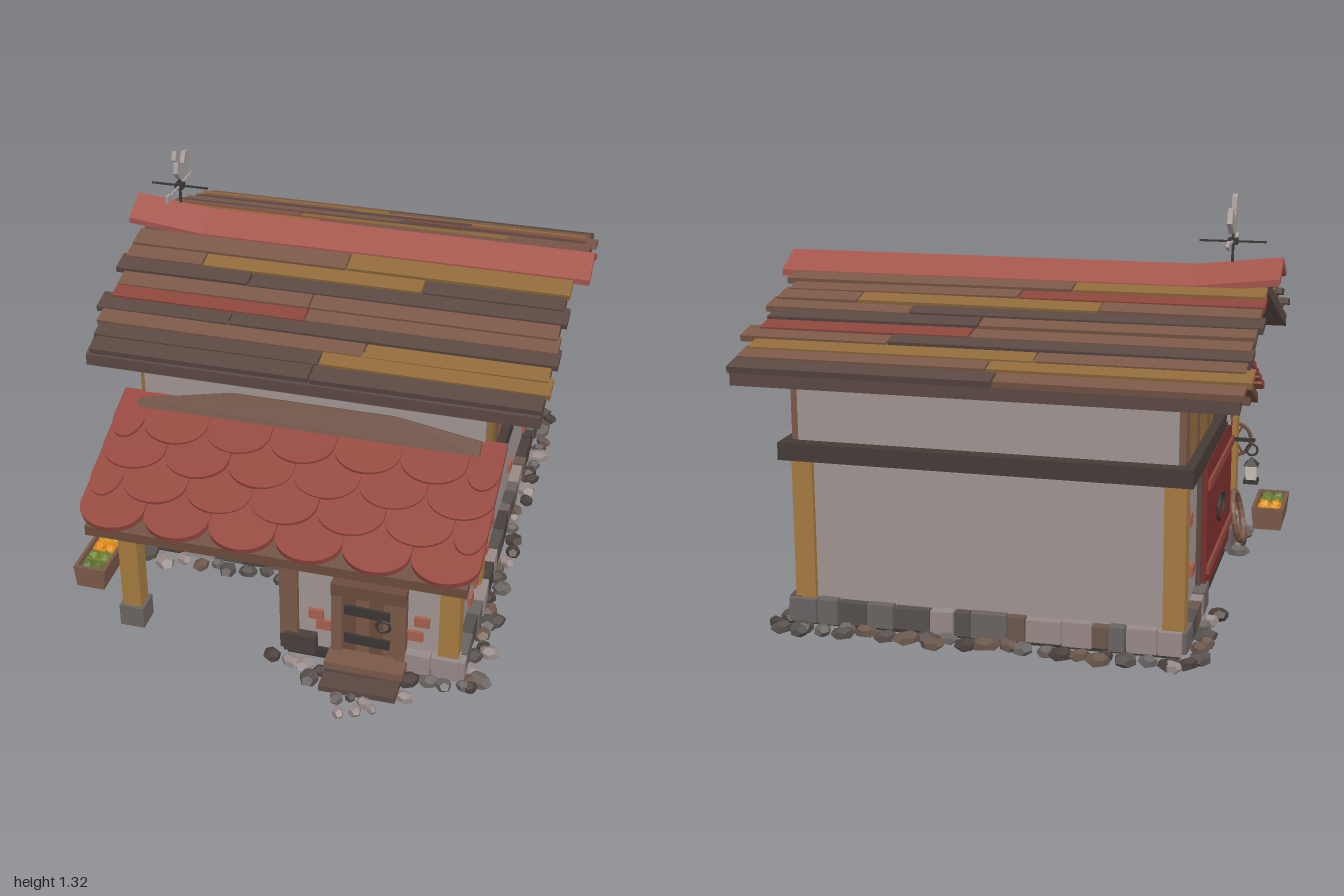
import * as THREE from 'three';

const C = { wall: 0xa09593, post: 0xa67a40, dark: 0x453b37, brown: 0x7a5848, deep: 0x5a4842, gold: 0x8f6a3a,
  red: 0x8a463c, tile: 0x94483f, ridge: 0xa2544b, brick: 0xa8604f, iron: 0x3a3634, slab: 0x6b4c3c, door: 0x7a2f2c };
const STONES = [0x6a6462, 0x6b574c, 0x978a88, 0x4a403c, 0x57504d];

let seed = 7;
const rnd = (a = 0, b = 1) => {
  seed = (seed * 16807) % 2147483647;
  return a + (b - a) * seed / 2147483647;
};
const pick = (list) => list[Math.floor(rnd(0, list.length))];
const mats = {};
const mat = (color) => (mats[color] ??= new THREE.MeshStandardMaterial({ color, flatShading: true }));

// height of the main roof surface at depth z
const RZ = -0.29;
const roofY = (z) => 1.055 - 0.35 * Math.abs(z - RZ);

export function createModel() {
  const root = new THREE.Group();
  const add = (name, geo, color, x = 0, y = 0, z = 0, rx = 0, ry = 0, rz = 0) => {
    const m = new THREE.Mesh(geo, mat(color));
    m.name = name;
    m.position.set(x, y, z);
    m.rotation.set(rx, ry, rz);
    root.add(m);
    return m;
  };
  const box = (name, color, w, h, d, x, y, z, rx, ry, rz) =>
    add(name, new THREE.BoxGeometry(w, h, d), color, x, y, z, rx, ry, rz);
  const shape = (pts) => new THREE.Shape(pts.map(([a, b]) => new THREE.Vector2(a, b)));
  const solid = (pts, depth) => new THREE.ExtrudeGeometry(shape(pts), { depth, bevelEnabled: false });
  // extrude a (z, y) outline across x
  const acrossX = (name, color, pts, x0, x1) =>
    add(name, solid(pts, x1 - x0).rotateY(-Math.PI / 2).translate(x1, 0, 0), color);
  const rock = (x, z, s, y = 0.022) => {
    const m = add('groundStone', new THREE.DodecahedronGeometry(1), pick(STONES), x, y, z, 0, rnd(0, 6), 0);
    m.scale.set(s * rnd(0.8, 1.3), 0.021, s * rnd(0.7, 1));
  };

  // walls and floor
  acrossX('mainWalls', C.wall, [[-0.875, 0.04], [-0.875, roofY(-0.875) - 0.02], [RZ, 1.03], [0.3, roofY(0.3) - 0.02], [0.3, 0.04]], -0.595, 0.575);
  acrossX('frontRoomWalls', C.wall, [[0.29, 0.04], [0.29, 0.62], [0.7, 0.44], [0.7, 0.04]], 0.03, 0.575);
  box('floor', C.iron, 1.2, 0.03, 1.2, -0.01, 0.03, -0.285);
  box('frontRoomFloor', C.iron, 0.57, 0.03, 0.42, 0.31, 0.03, 0.51);

  // timber frame
  for (const z of [0.29, -0.86]) for (const x of [0.56, -0.59]) box('cornerPost', C.post, 0.065, 0.5, 0.065, x, 0.31, z);
  box('frontRoomPost', C.post, 0.065, 0.38, 0.065, 0.56, 0.25, 0.685);
  box('porchPost', C.post, 0.065, 0.36, 0.065, -0.52, 0.26, 0.685);
  box('porchPostFoot', STONES[0], 0.085, 0.08, 0.085, -0.52, 0.05, 0.685);
  box('middlePost', C.brown, 0.06, 0.35, 0.06, 0.03, 0.265, 0.69);
  box('porchBeam', C.slab, 1.22, 0.04, 0.05, -0.01, 0.43, 0.69);
  for (const x of [0.59, -0.61]) box('sideBeam', C.dark, 0.07, 0.055, 1.27, x, 0.577, -0.285);
  for (const z of [0.305, -0.885]) box('crossBeam', C.dark, 1.25, 0.055, 0.07, -0.01, 0.577, z);

  // gable boards and windows on both ends
  for (const [x, s] of [[0.585, 1], [-0.605, -1]]) {
    for (let i = 0; i < 17; i++) {
      const w = 1.16 / 17, z = 0.285 - w * (i + 0.5), top = roofY(z) - 0.035;
      const h = top - 0.6;
      box('gableBoard', i % 3 === 1 ? C.brown : i % 5 === 3 ? C.deep : C.gold, 0.022, h, w * rnd(0.8, 0.96), x, 0.6 + h / 2, z, rnd(-0.03, 0.03));
    }
    box('windowFrame', C.gold, 0.03, 0.17, 0.205, x + s * 0.008, 0.785, RZ);
    for (const dz of [-0.05, 0.05]) {
      box('shutterFrame', C.iron, 0.02, 0.135, 0.086, x + s * 0.02, 0.795, RZ + dz, dz * 0.6);
      box('shutterPane', 0x5a524a, 0.01, 0.105, 0.06, x + s * 0.028, 0.795, RZ + dz, dz * 0.6);
    }
  }

  // main roof: deck, then lapped planks given as [z, x, colour, x, colour, x ...]
  const roofLine = [[0.36, roofY(0.36)], [RZ, 1.055], [-0.955, roofY(-0.955)]];
  acrossX('roofDeck', C.deep, [...roofLine, ...roofLine.map(([z, y]) => [z, y - 0.04]).reverse()], -0.775, 0.755);
  const { brown: b, deep: k, gold: g, red: r } = C;
  const planks = [
    [-0.935, -0.79, b, -0.065, k, 0.757], [-0.875, -0.805, g, -0.03, b, 0.75], [-0.82, -0.78, b, -0.16, g, 0.74],
    [-0.76, -0.79, k, 0.31, b, 0.79], [-0.705, -0.78, b, 0.07, r, 0.75], [-0.645, -0.785, b, 0.06, k, 0.75],
    [-0.585, -0.8, k, 0.3, b, 0.78], [-0.53, -0.785, b, -0.29, g, 0.49, b, 0.765], [-0.465, -0.79, r, -0.02, b, 0.75],
    [-0.41, -0.785, g, -0.18, b, 0.78], [-0.15, -0.78, b, 0, g, 0.77], [-0.09, -0.785, b, -0.5, g, 0.28, k, 0.76],
    [-0.03, -0.8, k, -0.315, k, 0.78], [0.035, -0.77, b, -0.08, b, 0.76], [0.09, -0.77, r, -0.08, b, 0.77],
    [0.145, -0.805, k, -0.33, k, 0.78], [0.205, -0.78, b, 0.15, g, 0.76], [0.26, -0.77, k, 0.015, g, 0.775],
    [0.325, -0.76, k, 0, k, 0.76]];
  for (const [z, ...row] of planks) for (let i = 0; i + 2 < row.length; i += 2) {
    const w = row[i + 2] - row[i];
    box('roofPlank', row[i + 1], w - 0.006, 0.02, 0.082, row[i] + w / 2, roofY(z) + 0.012 + rnd(0, 0.004), z, Math.sign(z - RZ) * 0.22, 0, rnd(-0.004, 0.004));
  }

  // ridge cap, with its left end kicked up
  const cap = [[-0.19, 1.045], [RZ, 1.1], [-0.39, 1.045], [-0.39, 1.025], [RZ, 1.07], [-0.19, 1.025]];
  acrossX('ridgeCap', C.ridge, cap, -0.55, 0.82);
  const kick = acrossX('ridgeCapEnd', C.ridge, cap, -0.82, -0.55).geometry.attributes.position;
  for (let i = 0; i < kick.count; i++) if (kick.getX(i) < -0.7) kick.setY(i, kick.getY(i) + 0.03);

  // lean-to roof with scalloped tiles
  acrossX('leanToDeck', C.slab, [[0.77, 0.435], [0.29, 0.645], [0.29, 0.61], [0.77, 0.4]], -0.64, 0.62);
  const tongue = new THREE.Shape().moveTo(-0.109, 0.2).lineTo(-0.109, 0.085);
  tongue.absellipse(0, 0.085, 0.109, 0.085, Math.PI, Math.PI * 2, false).lineTo(0.109, 0.2);
  const tileGeo = new THREE.ExtrudeGeometry(tongue, { depth: 0.022, bevelEnabled: false, curveSegments: 8 }).rotateX(-Math.PI / 2);
  for (let j = 0; j < 4; j++) for (let i = 0; i < 6 + (j % 2); i++) {
    const odd = j % 2, end = odd && (i === 0 || i === 6);
    const x = -0.56 + 0.22 * i - (odd ? 0.11 : 0) + (end ? (i ? -0.055 : 0.055) : 0);
    const t = add('roofTile', tileGeo, C.tile, x, 0.445 + j * 0.0475, 0.79 - j * 0.105, 0.34 + rnd(-0.02, 0.02), 0, rnd(-0.02, 0.02));
    if (end) t.scale.x = 0.5;
  }
  add('flashing', solid([[-0.6, 0], [-0.6, 0.03], [-0.28, 0.09], [0.28, 0.09], [0.57, 0.05], [0.57, 0]], 0.014), C.slab, 0, 0.648, 0.355, -0.5);

  // stone footing and loose stones around the walls
  const path = [[0.58, -0.875], [0.58, 0.7], [0.03, 0.7], [0.03, 0.305], [-0.6, 0.305], [-0.6, -0.875], [0.58, -0.875]];
  for (let e = 0; e < 6; e++) {
    const [ax, az] = path[e], [bx, bz] = path[e + 1];
    const len = Math.hypot(bx - ax, bz - az), dx = (bx - ax) / len, dz = (bz - az) / len;
    const at = (t, out) => [ax + dx * t + dz * out, az + dz * t - dx * out];
    const doorway = (x, z) => (e === 1 && x > 0.17 && x < 0.43) || (e === 4 && z > -0.49 && z < 0.1);
    for (let t = -0.02; t < len;) {
      const w = Math.min(rnd(0.05, 0.12), len + 0.03 - t), [x, z] = at(t + w / 2, 0.005);
      if (!doorway(x, z)) box('footingStone', pick(STONES), w - 0.004, rnd(0.065, 0.08), rnd(0.05, 0.065), x, 0.068, z, 0, Math.atan2(-dz, dx) + rnd(-0.05, 0.05), 0);
      t += w;
    }
    for (let t = -0.04; t < len + 0.05; t += rnd(0.045, 0.075)) {
      const [x, z] = at(t, rnd(0.035, 0.075));
      if (!doorway(x, z) && !(e === 2)) rock(x, z, rnd(0.026, 0.042));
    }
  }
  for (const [x, z, s] of [[0.24, 0.9, 0.025], [0.28, 0.88, 0.02], [0.33, 0.9, 0.025], [0.26, 0.96, 0.028], [0.31, 0.94, 0.024], [0.36, 0.92, 0.02],
    [0.13, 0.83, 0.04], [0.16, 0.79, 0.03], [0.45, 0.84, 0.03], [0.66, 0.4, 0.035], [0.67, 0.56, 0.035], [0.66, 0.7, 0.04], [0.64, 0.74, 0.03],
    [-0.6, -0.96, 0.03], [-0.38, -0.96, 0.04], [0.13, -0.96, 0.045], [0.42, -0.95, 0.03], [0.56, -0.96, 0.035]]) rock(x, z, s);

  // exposed bricks
  const brick = (x, y, z, side) => box('brick', C.brick, side ? 0.024 : 0.05, 0.036, side ? 0.05 : 0.024, x, y, z);
  for (const [x, y] of [[-0.43, 0.305], [-0.39, 0.255], [-0.075, 0.345], [-0.11, 0.285], [-0.15, 0.255]]) brick(x, y, 0.3);
  for (const [x, y] of [[0.37, 0.38], [0.47, 0.225], [0.45, 0.165], [0.12, 0.185], [0.145, 0.145]]) brick(x, y, 0.7);
  for (const [z, y] of [[0.42, 0.395], [0.6, 0.28], [0.4, 0.2], [0.45, 0.145], [0.355, 0.15], [0.16, 0.145], [0.08, 0.2], [0.03, 0.35], [0.06, 0.39],
    [-0.065, 0.4], [-0.27, 0.44], [-0.3, 0.185], [-0.64, 0.45], [-0.72, 0.395], [-0.63, 0.3], [-0.64, 0.15], [-0.735, 0.205]]) brick(0.575, y, z, true);
  for (const [z, y] of [[-0.74, 0.42], [-0.68, 0.38], [-0.62, 0.2], [-0.75, 0.16], [0.2, 0.46], [0.17, 0.27]]) brick(-0.595, y, z, true);

  // front door and steps
  for (let i = 0; i < 4; i++) box('doorPlank', i % 2 ? C.brown : C.slab, 0.044, 0.24, 0.025, 0.234 + i * 0.045, 0.19, 0.71);
  for (const x of [0.195, 0.405]) box('doorJamb', C.brown, 0.035, 0.27, 0.05, x, 0.185, 0.71);
  box('doorLintel', C.slab, 0.245, 0.045, 0.06, 0.3, 0.325, 0.712);
  for (const y of [0.24, 0.125]) box('doorStrap', C.iron, 0.15, 0.035, 0.012, 0.295, y, 0.726, 0, 0, -0.03);
  add('doorRing', new THREE.TorusGeometry(0.022, 0.005, 6, 14), C.iron, 0.35, 0.2, 0.732);
  box('upperStep', C.brown, 0.26, 0.025, 0.08, 0.3, 0.06, 0.76);
  for (const z of [0.785, 0.83, 0.865]) box('stepPlank', C.deep, 0.25, 0.02, 0.038, 0.3, 0.036, z, 0, rnd(-0.05, 0.05));

  // double barn doors on the right side
  box('barnDoorFrame', C.deep, 0.03, 0.46, 0.62, -0.595, 0.29, -0.195);
  for (const s of [-1, 1]) {
    const z = -0.195 + s * 0.146;
    for (let i = 0; i < 4; i++) box('barnDoorPlank', C.door, 0.025, 0.43, 0.069, -0.613, 0.29, z + (i - 1.5) * 0.072);
    for (const y of [0.15, 0.43]) box('barnDoorRail', C.red, 0.015, 0.03, 0.28, -0.627, y, z);
    add('barnDoorHandle', new THREE.TorusGeometry(0.04, 0.007, 6, 10, Math.PI), C.iron, -0.63, 0.28, -0.195 + s * 0.025, 0, Math.PI / 2, s * Math.PI / 2);
  }
  add('luckyHorseshoe', new THREE.TorusGeometry(0.02, 0.006, 6, 10, Math.PI * 1.4), 0x8a8480, -0.65, 0.57, -0.195, 0, Math.PI / 2, 0);

  // lantern on a bracket
  box('lanternBracket', C.iron, 0.1, 0.012, 0.012, -0.65, 0.415, 0.15);
  add('lanternHook', new THREE.TorusGeometry(0.02, 0.004, 6, 10), C.iron, -0.69, 0.38, 0.15);
  add('lanternRoof', new THREE.ConeGeometry(0.036, 0.03, 4), C.iron, -0.69, 0.34, 0.15, 0, Math.PI / 4);
  box('lanternGlass', 0xc8c0b4, 0.036, 0.05, 0.036, -0.69, 0.3, 0.15);
  box('lanternBase', C.iron, 0.05, 0.014, 0.05, -0.69, 0.268, 0.15);

  // hanging wheel on the porch wall, and a hoop leaning on the side wall
  add('hangingWheel', new THREE.TorusGeometry(0.06, 0.007, 6, 18), C.slab, -0.605, 0.365, 0.34);
  for (let i = 0; i < 3; i++) box('wheelSpoke', C.slab, 0.12, 0.007, 0.007, -0.605, 0.365, 0.34, 0, 0, i * Math.PI / 3);
  box('wheelRope', C.gold, 0.006, 0.14, 0.006, -0.59, 0.27, 0.345);
  add('leaningHoop', new THREE.TorusGeometry(0.088, 0.012, 6, 16), C.brown, -0.642, 0.125, 0.18, 0, Math.PI / 2 , 0).rotateX(0.2);

  // produce crate
  box('crateBottom', C.deep, 0.1, 0.02, 0.23, -0.73, 0.035, 0.47);
  for (const s of [-1, 1]) {
    box('crateSide', C.brown, 0.012, 0.08, 0.24, -0.73 + s * 0.048, 0.065, 0.47, 0, 0, -s * 0.1);
    box('crateEnd', C.brown, 0.1, 0.08, 0.012, -0.73, 0.065, 0.47 + s * 0.115);
  }
  [0xd99a20, 0xe08a18, 0x6f8030, 0x5f7030].forEach((c, i) => {
    for (const x of [-0.75, -0.71]) add('produce', new THREE.IcosahedronGeometry(0.026, 0), c, x, 0.088, 0.387 + i * 0.055, rnd(), rnd());
    box('produceFill', c, 0.08, 0.05, 0.052, -0.73, 0.068, 0.387 + i * 0.055);
  });

  // weathervane
  const VX = -0.66, steel = 0xa89c9c;
  box('vanePole', C.iron, 0.008, 0.14, 0.008, VX, 1.15, RZ);
  box('vaneCrossRod', C.iron, 0.21, 0.006, 0.006, VX, 1.175, RZ);
  box('vaneArrowRod', steel, 0.007, 0.007, 0.25, VX, 1.175, RZ);
  box('vaneHub', C.iron, 0.03, 0.02, 0.03, VX, 1.175, RZ);
  acrossX('vaneArrowHead', steel, [[-0.43, 1.175], [-0.4, 1.19], [-0.4, 1.16]], VX - 0.004, VX + 0.004);
  acrossX('vaneArrowTail', steel, [[-0.155, 1.187], [-0.185, 1.187], [-0.195, 1.175], [-0.185, 1.163], [-0.155, 1.163]], VX - 0.004, VX + 0.004);
  acrossX('vaneRooster', steel, [[-0.24, 1.29], [-0.255, 1.32], [-0.275, 1.31], [-0.285, 1.265], [-0.32, 1.25], [-0.34, 1.285], [-0.37, 1.28],
    [-0.385, 1.24], [-0.36, 1.22], [-0.33, 1.203], [-0.28, 1.203], [-0.252, 1.235], [-0.265, 1.275]], VX - 0.008, VX + 0.008);
  return root;
}
